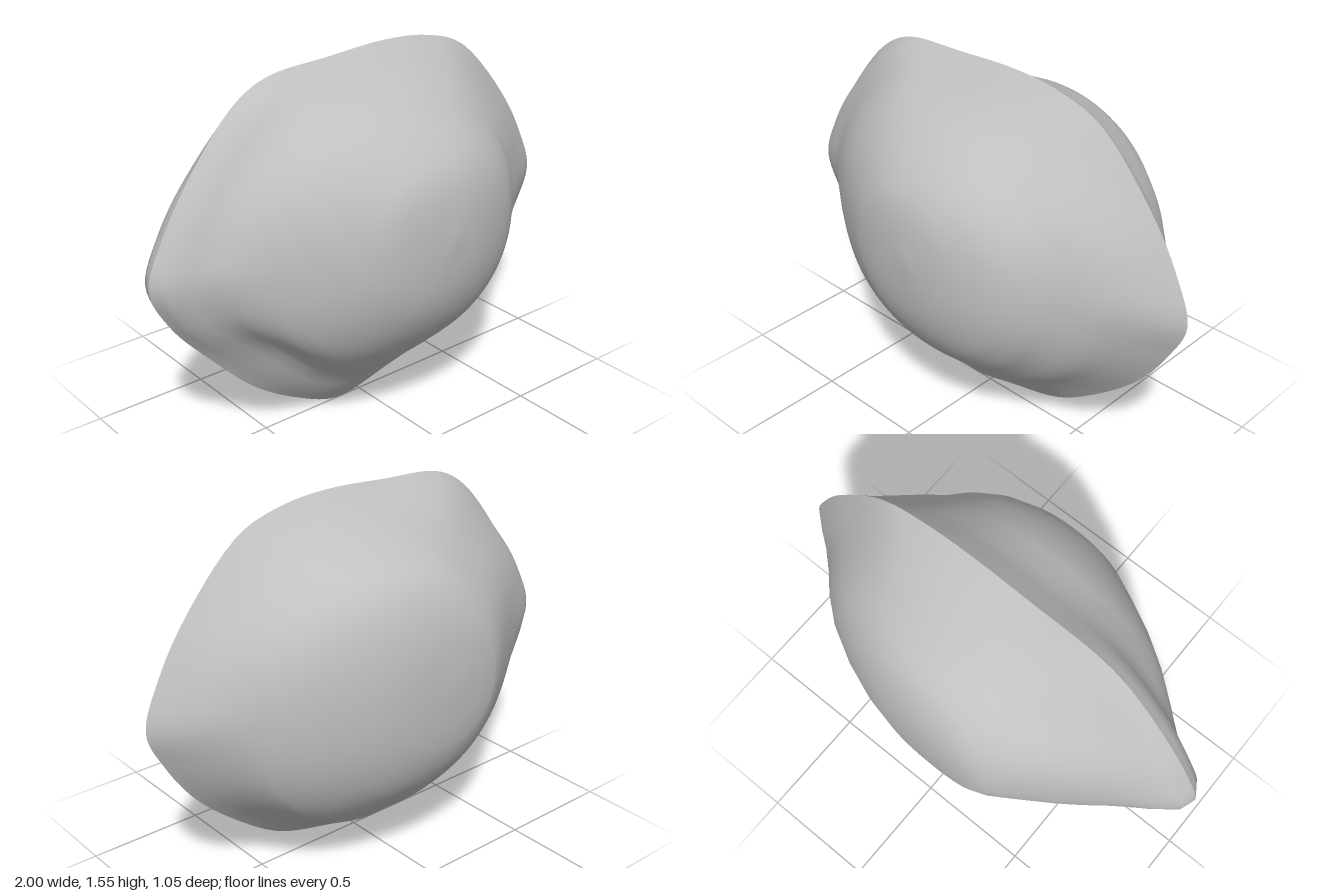
import * as THREE from 'three';

const SEGMENTS = 120;
const POWER = 2.2; // squareness of the inner rings

// rim where the two halves meet, counter-clockwise
const rim = new THREE.CatmullRomCurve3([
  [1, 0.79], [0.93, 0.99], [0.8, 1.2], [0.55, 1.46], [0.35, 1.53], [0.13, 1.55], [-0.15, 1.535],
  [-0.45, 1.51], [-0.6, 1.43], [-0.8, 1.2], [-0.93, 0.99], [-1, 0.8], [-0.92, 0.62], [-0.75, 0.42],
  [-0.55, 0.22], [-0.35, 0.09], [-0.12, 0], [0.15, 0.05], [0.4, 0.12], [0.6, 0.25], [0.8, 0.43], [0.93, 0.62],
].map(([x, y]) => new THREE.Vector3(x, y, 0)), true);

// cross-sections: depth, left edge, right edge, bottom, top
const frontRings = [
  [0, -1, 1, 0, 1.55], [0.06, -0.96, 0.92, 0.07, 1.5], [0.12, -0.83, 0.83, 0.15, 1.45],
  [0.2, -0.73, 0.72, 0.22, 1.4], [0.28, -0.62, 0.6, 0.3, 1.36], [0.36, -0.5, 0.53, 0.38, 1.3],
  [0.43, -0.37, 0.44, 0.47, 1.23], [0.48, -0.27, 0.32, 0.57, 1.16], [0.51, -0.14, 0.21, 0.68, 1.07],
  [0.525, 0.03, 0.07, 0.85, 0.92],
];
const backRings = [
  [0, -1, 1, 0, 1.55], [0.06, -0.98, 0.93, 0.05, 1.5], [0.12, -0.9, 0.85, 0.1, 1.46],
  [0.2, -0.77, 0.76, 0.17, 1.42], [0.28, -0.65, 0.68, 0.23, 1.38], [0.36, -0.54, 0.58, 0.31, 1.34],
  [0.43, -0.44, 0.45, 0.39, 1.28], [0.48, -0.37, 0.32, 0.48, 1.19], [0.515, -0.3, 0.18, 0.59, 1.07],
  [0.53, -0.16, -0.02, 0.78, 0.92],
];

// add a ring halfway between each pair
function refine(rings) {
  return rings.flatMap((ring, i) => i === 0 ? [ring]
    : [ring.map((value, n) => (value + rings[i - 1][n]) / 2), ring]);
}

// one domed half: rings shift from the rim outline to rounded ovals as they rise
function halfGeometry(table, side, hollow) {
  const rings = refine(table);
  const outline = rim.getPoints(SEGMENTS).slice(0, SEGMENTS);
  const pos = [], index = [];
  for (const [z, left, right, bottom, top] of rings) {
    const round = THREE.MathUtils.smoothstep(z, 0, 0.32);
    for (const p of outline) {
      const u = p.x, v = (p.y - 0.775) / 0.775;
      const a = Math.atan2(v, u);
      const oval = (Math.abs(Math.cos(a)) ** POWER + Math.abs(Math.sin(a)) ** POWER) ** (-1 / POWER);
      // shallow hollow on one flank
      const dip = hollow.depth * Math.exp(-(((a - hollow.angle) / 0.4) ** 2))
        * Math.sin(Math.PI * Math.min(1, z / hollow.reach));
      const r = THREE.MathUtils.lerp(Math.hypot(u, v), oval, round) - dip;
      pos.push(
        (left + right) / 2 + Math.cos(a) * r * (right - left) / 2,
        (bottom + top) / 2 + Math.sin(a) * r * (top - bottom) / 2,
        z * side,
      );
    }
  }
  const face = (a, b, c) => index.push(...(side > 0 ? [a, b, c] : [a, c, b]));
  for (let i = 0; i < rings.length - 1; i++) {
    for (let j = 0; j < SEGMENTS; j++) {
      const k = (j + 1) % SEGMENTS;
      const a = i * SEGMENTS + j, b = i * SEGMENTS + k;
      face(a, b, b + SEGMENTS);
      face(a, b + SEGMENTS, a + SEGMENTS);
    }
  }
  // close the crown
  const [z, left, right, bottom, top] = rings[rings.length - 1];
  const crown = pos.length / 3, last = (rings.length - 1) * SEGMENTS;
  pos.push((left + right) / 2, (bottom + top) / 2, z * side);
  for (let j = 0; j < SEGMENTS; j++) face(last + j, last + (j + 1) % SEGMENTS, crown);

  const geometry = new THREE.BufferGeometry();
  geometry.setAttribute('position', new THREE.Float32BufferAttribute(pos, 3));
  geometry.setIndex(index);
  geometry.computeVertexNormals();
  return geometry;
}

export function createModel() {
  const stone = new THREE.MeshStandardMaterial({ color: 0xc0c0c0 });
  stone.name = 'stone grey';
  const group = new THREE.Group();
  group.name = 'stone';
  const halves = [
    ['frontHalf', frontRings, 1, { angle: -2.36, depth: 0.09, reach: 0.3 }],
    ['backHalf', backRings, -1, { angle: 2.2, depth: 0.06, reach: 0.55 }],
  ];
  for (const [name, rings, side, hollow] of halves) {
    const mesh = new THREE.Mesh(halfGeometry(rings, side, hollow), stone);
    mesh.name = name;
    group.add(mesh);
  }
  return group;
}
